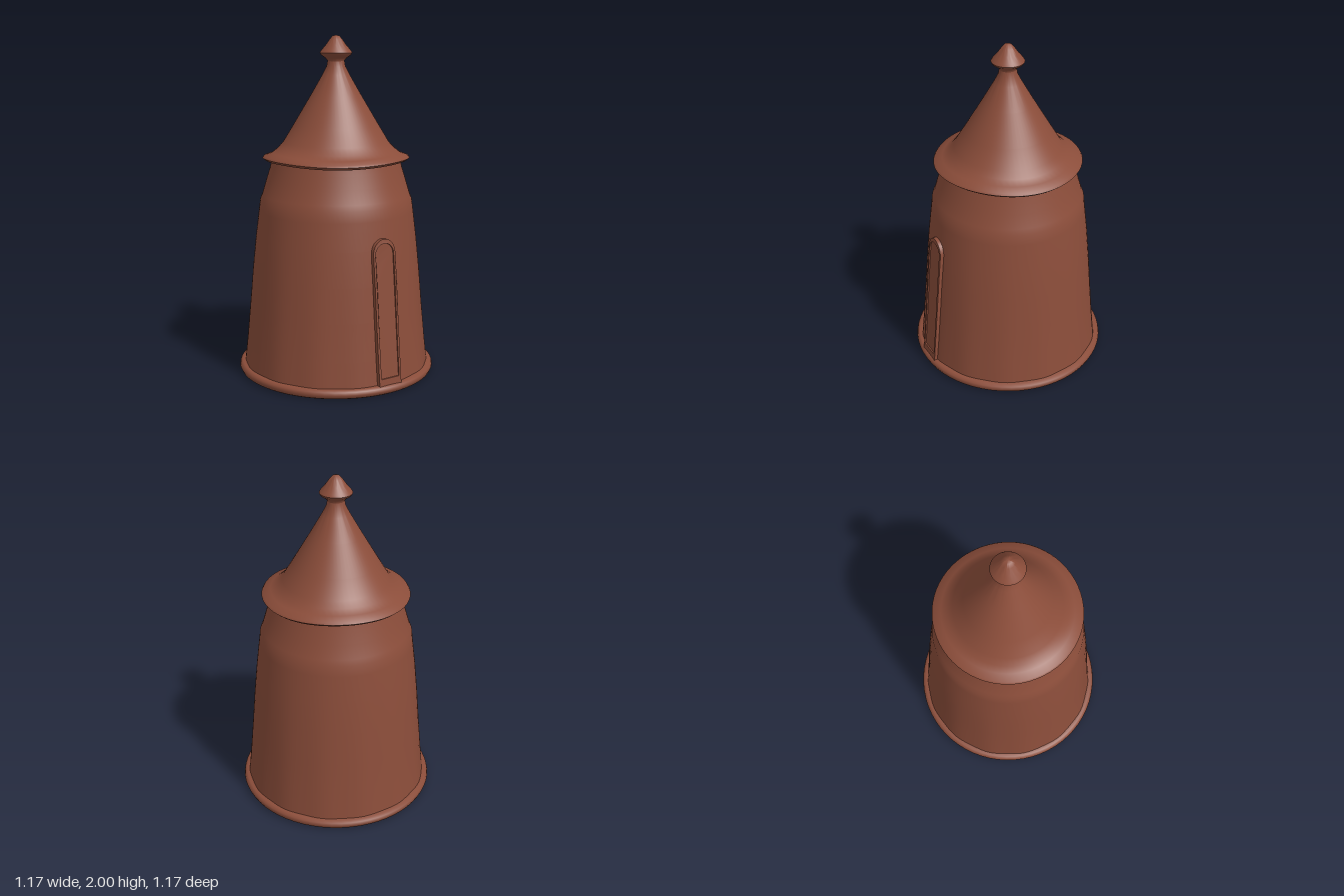
import * as THREE from 'three';
import { toCreasedNormals } from 'three/addons/utils/BufferGeometryUtils.js';

const clay = new THREE.MeshStandardMaterial({ color: 0x8b4d3a });
clay.name = 'clay';
const dark = new THREE.MeshStandardMaterial({ color: 0x1e180b });
dark.name = 'darkUnderside';

// wall profile from the plinth to under the eave, as [radius, height]
const WALL = [[0.552, 0.04], [0.535, 0.2], [0.515, 0.42], [0.498, 0.62], [0.478, 0.82],
  [0.458, 0.98], [0.45, 1.045], [0.437, 1.075], [0.412, 1.16], [0.39, 1.23], [0.376, 1.29]];

function wallRadius(y) {
  let i = 1;
  while (i < WALL.length - 1 && WALL[i][1] < y) i++;
  const [r0, y0] = WALL[i - 1], [r1, y1] = WALL[i];
  return r0 + (r1 - r0) * (y - y0) / (y1 - y0);
}

function lathe(name, points, crease = 0.6, segments = 64, rule = null) {
  const geo = new THREE.LatheGeometry(points.map(([r, y]) => new THREE.Vector2(r, y)), segments);
  if (rule) bend(geo, rule);
  return makeMesh(name, toCreasedNormals(geo, crease));
}

// move every vertex by a rule
function bend(geo, rule) {
  const p = geo.attributes.position, v = new THREE.Vector3();
  for (let i = 0; i < p.count; i++) {
    rule(v.fromBufferAttribute(p, i));
    p.setXYZ(i, v.x, v.y, v.z);
  }
}

function makeMesh(name, geo, material = clay) {
  const mesh = new THREE.Mesh(geo, material);
  mesh.name = name;
  return mesh;
}

// outline of a round-headed door with short steps up the sides
function archPoints(halfWidth, bottom, spring, top) {
  const pts = [];
  for (let i = 0; i < 8; i++) pts.push([halfWidth, bottom + (spring - bottom) * i / 8]);
  for (let i = 0; i <= 16; i++) {
    const a = Math.PI * i / 16;
    pts.push([halfWidth * Math.cos(a), spring + (top - spring) * Math.sin(a)]);
  }
  for (let i = 7; i >= 0; i--) pts.push([-halfWidth, bottom + (spring - bottom) * i / 8]);
  return pts.map(([x, y]) => new THREE.Vector2(x, y));
}

// extrude an arch and lay it on the curved wall
function onWall(name, shape, inner, outer) {
  const geo = new THREE.ExtrudeGeometry(shape, { depth: outer - inner, bevelEnabled: false });
  bend(geo, (v) => { v.z += inner + Math.sqrt(wallRadius(v.y) ** 2 - v.x ** 2); });
  return makeMesh(name, toCreasedNormals(geo, 0.6));
}

export function createModel() {
  const model = new THREE.Group();
  model.name = 'roundTower';

  // plinth rim and dark underside
  model.add(lathe('plinth', [[0.565, 0.004], [0.578, 0.012], [0.586, 0.03], [0.582, 0.047],
    [0.568, 0.056], [0.54, 0.057]], 1));
  const underside = makeMesh('underside', new THREE.CircleGeometry(0.566, 64), dark);
  underside.rotation.x = Math.PI / 2;
  underside.position.y = 0.004;
  model.add(underside);

  // tapered wall with faint flutes that fade upward
  model.add(lathe('wall', WALL, 1, 96, (v) => {
    const fade = Math.max(0, 1 - v.y / 1.05);
    const s = 1 + 0.005 * fade * Math.sin(Math.atan2(v.x, v.z) * 14);
    v.x *= s;
    v.z *= s;
  }));

  // conical roof with a flared, slightly uneven eave
  model.add(lathe('roof', [[0.35, 1.275], [0.415, 1.275], [0.433, 1.29], [0.425, 1.302], [0.38, 1.318],
    [0.345, 1.345], [0.312, 1.38], [0.25, 1.482], [0.15, 1.65], [0.08, 1.772], [0.055, 1.82], [0.05, 1.85]],
  0.7, 64, (v) => {
    const r = Math.hypot(v.x, v.z);
    if (r > 0.34) v.y += 0.005 * Math.sin(3 * Math.atan2(v.x, v.z));
  }));

  // finial
  model.add(lathe('finial', [[0.05, 1.82], [0.05, 1.855], [0.062, 1.868], [0.088, 1.886], [0.095, 1.898],
    [0.086, 1.912], [0.06, 1.942], [0.037, 1.975], [0.02, 1.994], [0, 2]], 0.8, 48));

  // door: raised frame around a set-back panel
  const frame = new THREE.Shape(archPoints(0.075, 0.05, 0.8, 0.885));
  frame.holes.push(new THREE.Path(archPoints(0.061, 0.095, 0.8, 0.86)));
  model.add(onWall('doorFrame', frame, -0.02, 0.022));
  model.add(onWall('doorPanel', new THREE.Shape(archPoints(0.063, 0.09, 0.8, 0.862)), -0.02, 0.014));

  return model;
}
